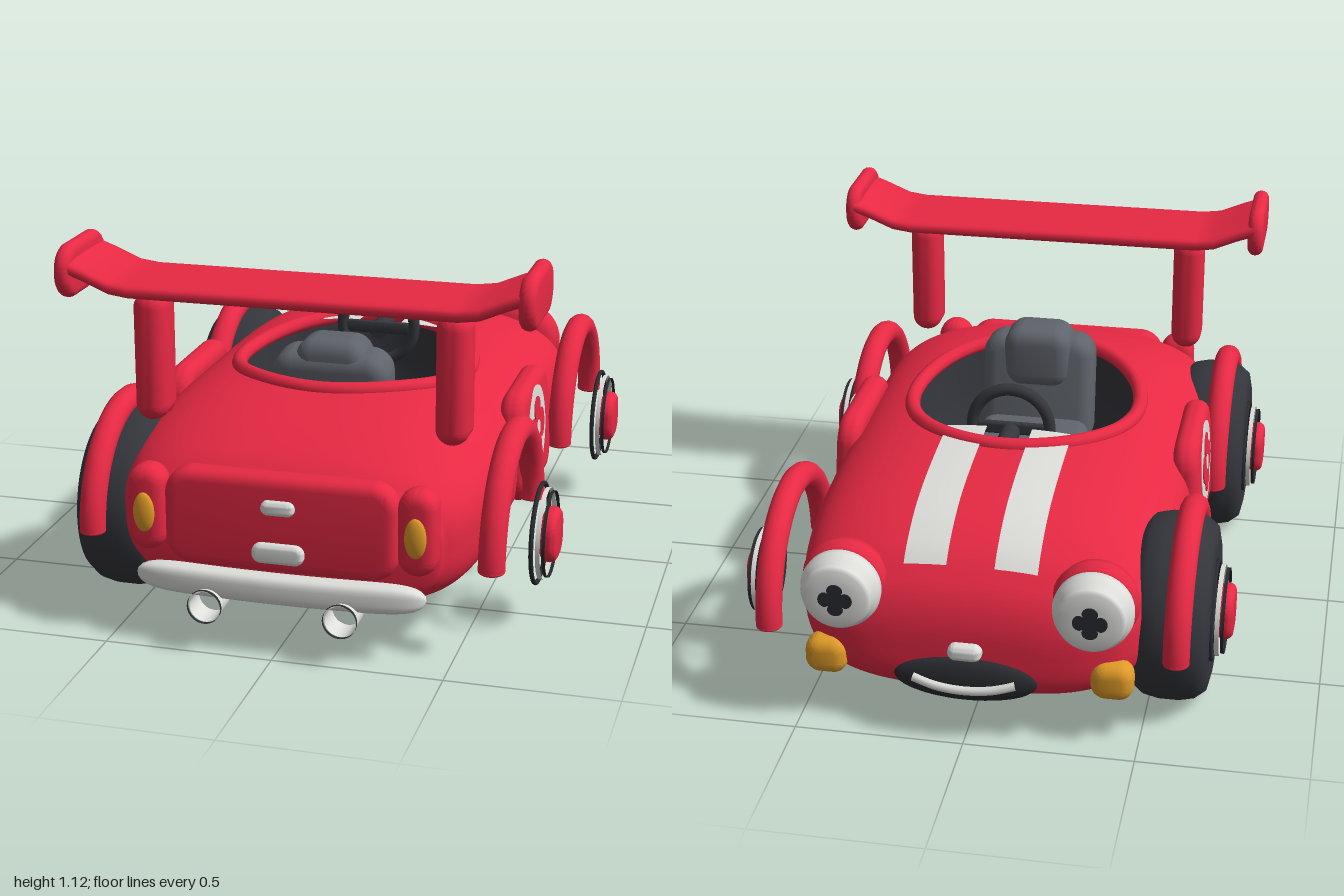
import * as THREE from 'three';
import { toCreasedNormals } from 'three/addons/utils/BufferGeometryUtils.js';

const material = (name, color, extra = {}) => {
  const m = new THREE.MeshStandardMaterial({ color, ...extra });
  m.name = name;
  return m;
};

export function createModel() {
  const car = new THREE.Group();
  car.name = 'car';
  const red = material('red paint', 0xec2a45);
  const white = material('off white', 0xdededb, { side: THREE.DoubleSide });
  const dark = material('dark rubber', 0x35363c, { side: THREE.DoubleSide });
  const black = material('black trim', 0x2a2b30, { side: THREE.DoubleSide });
  const grey = material('grey seat', 0x5f636b);
  const orange = material('orange lamp', 0xdf9a28);
  const V = (x, y, z) => new THREE.Vector3(x, y, z);

  const add = (name, geo, mat, x = 0, y = 0, z = 0, parent = car) => {
    const m = new THREE.Mesh(geo, mat);
    m.name = name;
    m.position.set(x, y, z);
    parent.add(m);
    return m;
  };

  // Skin over rows of points; closed rows wrap without a seam
  const loft = (rows, closed, skip) => {
    const n = rows[0].length, index = [], p = rows.flat();
    for (let i = 0; i < rows.length - 1; i++)
      for (let j = 0; j < (closed ? n : n - 1); j++) {
        const k = (j + 1) % n, a = i * n + j, b = i * n + k, c = a + n, d = b + n;
        for (const t of [[a, b, c], [b, d, c]])
          if (!skip || !skip(p[t[0]].clone().add(p[t[1]]).add(p[t[2]]).divideScalar(3))) index.push(...t);
      }
    const g = new THREE.BufferGeometry().setFromPoints(p);
    g.setIndex(index);
    g.computeVertexNormals();
    return g;
  };
  const power = (v, n) => Math.sign(v) * Math.abs(v) ** (2 / n);

  // Bar running along x through stations of [x, y, z, half height, half depth]
  const bar = (stations) => loft(stations.map(([x, y, z, h, d]) => Array.from({ length: 32 }, (_, j) => {
    const a = j / 16 * Math.PI;
    return V(x, y + h * power(Math.cos(a), 3), z + d * power(Math.sin(a), 3.5));
  })), true);

  // Rounded slab lying in the xy plane, centred
  const slab = (w, h, d, r, b = 0.02) => {
    const s = new THREE.Shape(), x = w / 2 - b, y = h / 2 - b, q = Math.max(0.004, Math.min(r - b, x - 0.001, y - 0.001));
    s.absarc(x - q, y - q, q, 0, Math.PI / 2);
    s.absarc(q - x, y - q, q, Math.PI / 2, Math.PI);
    s.absarc(q - x, q - y, q, Math.PI, Math.PI * 1.5);
    s.absarc(x - q, q - y, q, Math.PI * 1.5, Math.PI * 2);
    const g = new THREE.ExtrudeGeometry(s, { depth: d - 2 * b, bevelSize: b, bevelThickness: b, bevelSegments: 4, curveSegments: 8 });
    return toCreasedNormals(g.translate(0, 0, b - d / 2), 0.7);
  };
  const lathe = (pts, seg = 40) => new THREE.LatheGeometry(pts.map(([r, y]) => new THREE.Vector2(r, y)), seg);
  const ball = (x, y, z) => new THREE.SphereGeometry(1, 28, 18).scale(x, y, z);
  const band = (r, length) => new THREE.CylinderGeometry(r, r, length, 40, 1, true);
  const flower = (R) => {
    const pts = [];
    for (let i = 0; i < 64; i++) {
      const a = i / 32 * Math.PI, r = R * (0.52 + 0.48 * Math.sqrt(Math.abs(Math.cos(2 * a))));
      pts.push(new THREE.Vector2(r * Math.cos(a), r * Math.sin(a)));
    }
    return new THREE.ExtrudeGeometry(new THREE.Shape(pts), { depth: 0.004, bevelEnabled: false });
  };

  // Body sections: z, half width, bottom, top
  const keys = [[-0.945, 0.01, 0.25, 0.27], [-0.94, 0.24, 0.18, 0.35], [-0.92, 0.37, 0.14, 0.42], [-0.88, 0.455, 0.12, 0.48],
    [-0.8, 0.51, 0.11, 0.55], [-0.65, 0.54, 0.105, 0.61], [-0.4, 0.555, 0.1, 0.64], [0, 0.56, 0.1, 0.65], [0.4, 0.56, 0.1, 0.65],
    [0.6, 0.555, 0.105, 0.62], [0.75, 0.525, 0.11, 0.575], [0.84, 0.475, 0.13, 0.53], [0.88, 0.4, 0.16, 0.47], [0.893, 0.01, 0.28, 0.3]];
  const widths = new THREE.SplineCurve(keys.map(k => new THREE.Vector2(k[0], k[1])));
  const heights = new THREE.SplineCurve(keys.map(k => new THREE.Vector2(k[2], k[3])));
  const crown = 2.5;
  const section = (t) => {
    const a = widths.getPoint(t), b = heights.getPoint(t);
    return { z: a.x, w: a.y, bot: b.x, top: b.y, mid: b.x + (b.y - b.x) * 0.52 };
  };
  const topY = (x, z) => {
    let lo = 0, hi = 1;
    for (let i = 0; i < 30; i++) { const m = (lo + hi) / 2; if (section(m).z < z) lo = m; else hi = m; }
    const s = section(lo);
    return s.mid + (s.top - s.mid) * (1 - Math.min(1, Math.abs(x) / s.w) ** crown) ** (1 / crown);
  };
  const rows = [];
  for (let i = 0; i <= 180; i++) {
    const s = section(i / 180), row = [];
    for (let j = 0; j < 128; j++) {
      const a = j / 64 * Math.PI, up = Math.sin(a) >= 0, n = up ? crown : 3.2;
      row.push(V(s.w * power(Math.cos(a), n), s.mid + (up ? s.top - s.mid : s.mid - s.bot) * power(Math.sin(a), n), s.z));
    }
    rows.push(row);
  }
  const cz = 0.065;
  add('body', loft(rows, true, c => c.y > 0.4 && (c.x / 0.355) ** 2 + ((c.z - cz) / 0.4) ** 2 < 1), red);

  // Cockpit rim and tub
  const oval = (k, y) => Array.from({ length: 64 }, (_, i) => {
    const a = i / 32 * Math.PI, x = 0.36 * k * Math.cos(a), z = cz + 0.405 * k * Math.sin(a);
    return V(x, y ?? topY(x, z), z);
  });
  add('cockpitRim', new THREE.TubeGeometry(new THREE.CatmullRomCurve3(oval(1.01), true), 96, 0.024, 10, true), red);
  add('cockpitTub', loft([oval(1), oval(0.97, 0.5), oval(0.92, 0.34), oval(0.8, 0.3), oval(0.01, 0.3)], true), dark);

  // Seat and steering wheel
  add('seatCushion', slab(0.36, 0.3, 0.13, 0.08, 0.04).rotateX(-Math.PI / 2), grey, 0, 0.4, 0.13);
  const back = add('seatBack', slab(0.365, 0.38, 0.15, 0.07, 0.045), grey, 0, 0.54, 0.315);
  back.rotation.x = 0.12;
  add('headrest', slab(0.22, 0.2, 0.17, 0.06, 0.045), grey, 0, 0.665, 0.315);
  add('steeringWheel', new THREE.TorusGeometry(0.12, 0.019, 12, 40), dark, 0, 0.65, -0.215);
  add('steeringSpoke', slab(0.22, 0.04, 0.02, 0.015, 0.008), dark, 0, 0.64, -0.215);
  add('steeringColumn', new THREE.CylinderGeometry(0.03, 0.03, 0.14, 16).rotateX(Math.PI / 2), dark, 0, 0.63, -0.28);

  // Bonnet stripes following the surface
  for (const s of [-1, 1]) {
    const strip = [];
    for (let i = 0; i <= 31; i++) {
      const z = -0.86 + i * 0.02;
      strip.push([0.07, 0.11, 0.15, 0.195].map(x => x * s).sort((a, b) => b - a).map(x => V(x, topY(x, z) + 0.007, z)));
    }
    add('bonnetStripe', loft(strip, false), white);
  }

  // Spoiler wing
  const wing = [[-0.67, 1.055], [-0.62, 1.037], [-0.54, 1.003], [-0.48, 0.995], [0.48, 0.995], [0.54, 1.003], [0.62, 1.037], [0.67, 1.055]];
  add('spoilerWing', bar(wing.map(([x, y]) => [x, y, 0.655, 0.028, 0.15])), red);

  const arch = new THREE.TorusGeometry(0.305, 0.039, 14, 40, Math.PI).rotateY(Math.PI / 2);
  const tyre = lathe([[0, -0.1], [0.15, -0.105], [0.2, -0.117], [0.245, -0.107], [0.27, -0.075], [0.28, -0.03],
    [0.28, 0.03], [0.27, 0.075], [0.245, 0.107], [0.2, 0.117], [0.15, 0.105], [0, 0.1]], 48).rotateZ(Math.PI / 2);

  for (const s of [-1, 1]) {
    add('spoilerEndPlate', slab(0.31, 0.16, 0.05, 0.075, 0.024).rotateY(Math.PI / 2), red, s * 0.675, 1.035, 0.66);
    add('spoilerStrut', slab(0.1, 0.39, 0.14, 0.05, 0.044), red, s * 0.45, 0.778, 0.66);

    // Wheels and arches; tyres sit on the right side only
    for (const z of [0.525, -0.58]) {
      add('wheelArch', arch, red, s * 0.598, 0.27, z);
      for (const e of [-1, 1]) add('wheelArchEnd', ball(0.039, 0.012, 0.039), red, s * 0.598, 0.27, z + e * 0.305);
      if (s < 0) add('tyre', tyre, dark, -0.565, 0.28, z);
      const hub = new THREE.Group();
      hub.name = 'hub';
      hub.position.set(0, 0.275, z);
      car.add(hub);
      add('hubOuterRing', new THREE.TorusGeometry(0.147, 0.007, 8, 48).rotateY(Math.PI / 2), black, s * 0.68, 0, 0, hub);
      add('hubWhiteRing', band(0.136, 0.014).rotateZ(Math.PI / 2), white, s * 0.697, 0, 0, hub);
      add('hubInnerRing', band(0.128, 0.01).rotateZ(Math.PI / 2), black, s * 0.712, 0, 0, hub);
      add('hubCap', slab(0.155, 0.155, 0.05, 0.06, 0.022).rotateY(Math.PI / 2), red, s * 0.714, 0, 0, hub);
    }

    // Door with round flower badge
    const door = new THREE.Group();
    door.name = 'door';
    door.position.set(s * 0.543, 0.415, 0.045);
    door.rotation.set(-0.06, s * Math.PI / 2, 0, 'YXZ');
    car.add(door);
    add('doorPanel', slab(0.44, 0.35, 0.08, 0.09, 0.035), red, 0, 0, 0, door);
    const bx = -s * 0.015;
    add('badgeDisc', new THREE.CylinderGeometry(0.133, 0.133, 0.006, 40).rotateX(Math.PI / 2), white, bx, 0.02, 0.039, door);
    add('badgeFlower', flower(0.1), red, bx, 0.02, 0.041, door);
    add('badgeCentre', new THREE.CylinderGeometry(0.024, 0.024, 0.004, 20).rotateX(Math.PI / 2), white, bx, 0.02, 0.045, door);

    // Headlight with flower pupil, and indicator below
    const light = new THREE.Group();
    light.name = 'headlight';
    light.position.set(s * 0.365, 0.44, -0.87);
    light.rotation.x = -Math.PI / 2;
    car.add(light);
    add('headlightBowl', lathe([[0, -0.07], [0.08, -0.065], [0.115, -0.04], [0.127, 0], [0.12, 0.03], [0.1, 0.04], [0, 0.04]]), red, 0, 0, 0, light);
    add('headlightLens', lathe([[0.1, 0.02], [0.115, 0.035], [0.118, 0.06], [0.112, 0.085], [0.1, 0.095], [0.1, 0.11], [0.09, 0.12], [0.05, 0.124], [0, 0.125]]), white, 0, 0, 0, light);
    add('headlightPupil', flower(0.05).rotateX(-Math.PI / 2), black, 0, 0.125, 0, light);
    add('indicator', slab(0.125, 0.115, 0.09, 0.045, 0.035), orange, s * 0.42, 0.207, -0.9);

    // Tail lamp and exhaust
    add('tailLampPod', slab(0.115, 0.255, 0.1, 0.057, 0.035), red, s * 0.4, 0.388, 0.875);
    add('tailLamp', ball(0.032, 0.06, 0.018), orange, s * 0.4, 0.383, 0.925);
    add('exhaustPipe', band(0.046, 0.085).rotateX(Math.PI / 2), white, s * 0.2, 0.137, 0.945);
    add('exhaustRim', band(0.05, 0.012).rotateX(Math.PI / 2), black, s * 0.2, 0.14, 0.994);
  }

  // Nose and smiling mouth
  add('mouth', ball(0.21, 0.068, 0.03), black, 0, 0.19, -0.95);
  const smile = new THREE.CatmullRomCurve3([V(-0.15, 0.195, -0.97), V(-0.08, 0.177, -0.978), V(0, 0.17, -0.98), V(0.08, 0.177, -0.978), V(0.15, 0.195, -0.97)]);
  add('smile', new THREE.TubeGeometry(smile, 24, 0.014, 8), white);
  add('nose', slab(0.1, 0.05, 0.06, 0.025, 0.02), white, 0, 0.282, -0.947);

  // Boot lid, handle, plate and bumper
  add('bootLid', slab(0.69, 0.29, 0.09, 0.08, 0.03), red, 0, 0.375, 0.873);
  add('bootHandle', slab(0.1, 0.044, 0.04, 0.022, 0.016), white, 0, 0.432, 0.918);
  add('rearPlate', slab(0.155, 0.06, 0.04, 0.028, 0.014), white, 0, 0.295, 0.92);
  const stations = Array.from({ length: 25 }, (_, i) => {
    const u = -Math.cos(i / 24 * Math.PI), k = 0.01 + 0.99 * (1 - Math.abs(u) ** 10) ** 0.5;
    return [0.43 * u, 0.193, 0.935 - 0.025 * u * u, 0.042 * k, 0.036 * k];
  });
  add('rearBumper', bar(stations), white);
  return car;
}
